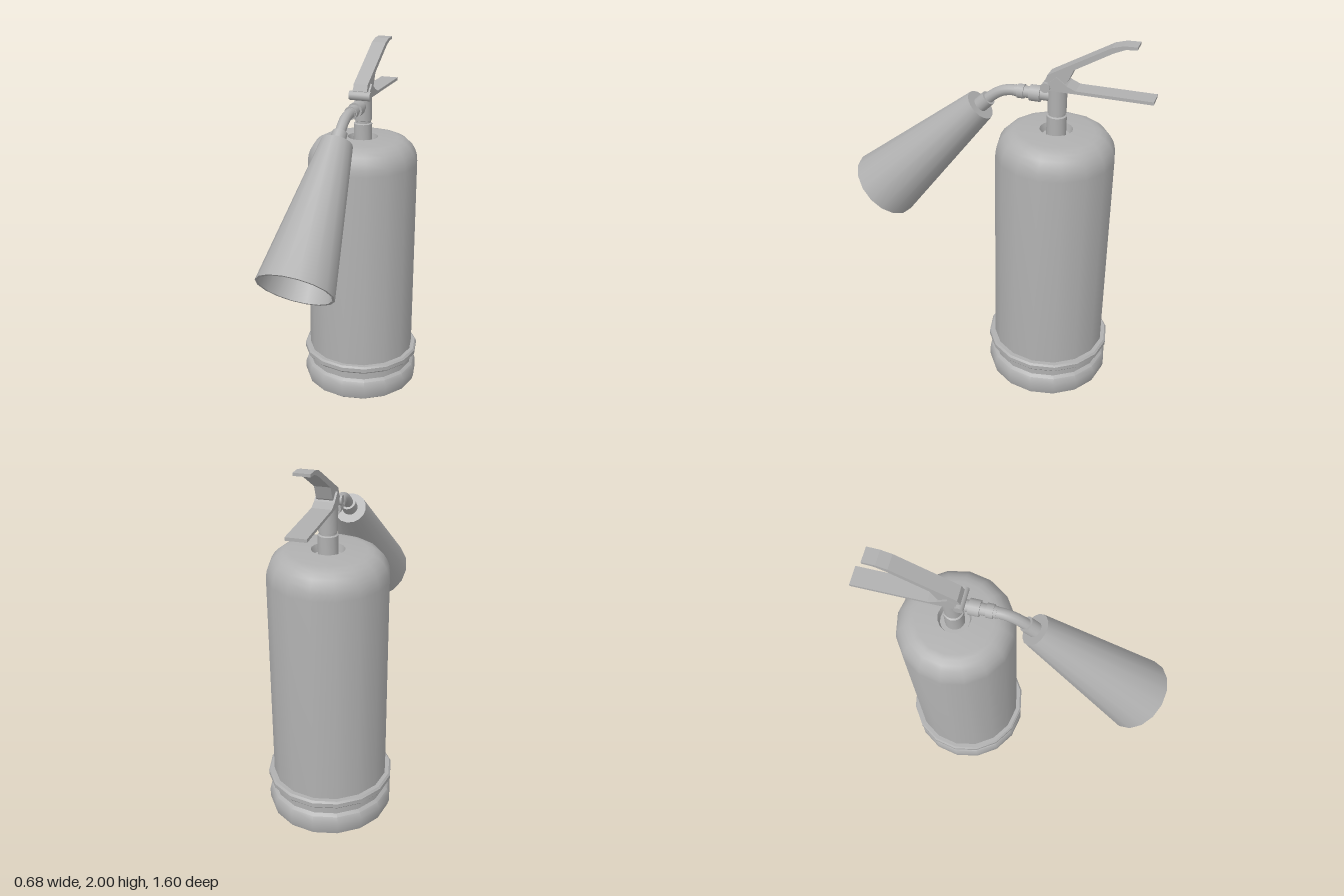
import * as THREE from 'three';
import { toCreasedNormals } from 'three/addons/utils/BufferGeometryUtils.js';

const TANK_Z = -0.32;

export function createModel() {
  const model = new THREE.Group();
  model.name = 'fireExtinguisher';
  const grey = new THREE.MeshStandardMaterial({ color: 0xb0b0b0 });
  grey.name = 'plain grey';

  const add = (name, geometry, x = 0, y = 0, z = 0) => {
    const mesh = new THREE.Mesh(geometry, grey);
    mesh.name = name;
    mesh.position.set(x, y, z);
    model.add(mesh);
    return mesh;
  };
  // Turned part from [radius, height] pairs, with hard edges kept sharp
  const turned = (pairs, sides = 16) => toCreasedNormals(
    new THREE.LatheGeometry(pairs.map(([r, y]) => new THREE.Vector2(r, y)), sides), 0.6);
  // Round bar lying along z
  const barZ = (name, r, zBack, zFront, y) => add(name,
    new THREE.CylinderGeometry(r, r, zFront - zBack, 16).rotateX(Math.PI / 2), 0, y, (zBack + zFront) / 2);
  // Side profile of [z, y] pairs given a width across x
  const plate = (name, pairs, width) => {
    const shape = new THREE.Shape(pairs.map(([z, y]) => new THREE.Vector2(-z, y)));
    const g = new THREE.ExtrudeGeometry(shape, { depth: width, bevelEnabled: false });
    add(name, g.translate(0, 0, -width / 2).rotateY(Math.PI / 2));
  };

  // Tank with rounded shoulder and recessed neck
  const shoulder = [];
  for (let i = 0; i <= 6; i++) {
    const a = (i / 6) * Math.PI / 2;
    shoulder.push([0.198 + 0.11 * Math.cos(a), 1.365 + 0.138 * Math.sin(a)]);
  }
  add('tank', turned([[0, 0.05], [0.308, 0.05], ...shoulder,
    [0.085, 1.508], [0.075, 1.47], [0, 1.47]]), 0, 0, TANK_Z);

  // Foot and the band above it
  add('foot', turned([[0, 0], [0.315, 0], [0.328, 0.01], [0.337, 0.04], [0.336, 0.085],
    [0.325, 0.115], [0.305, 0.13]]), 0, 0, TANK_Z);
  add('band', turned([[0.3, 0.18], [0.33, 0.18], [0.339, 0.19], [0.339, 0.213],
    [0.33, 0.223], [0.3, 0.223]]), 0, 0, TANK_Z);

  // Valve
  add('valve', turned([[0, 1.46], [0.051, 1.46], [0.051, 1.583], [0.043, 1.588],
    [0.043, 1.6], [0.048, 1.602], [0.048, 1.74], [0, 1.74]]), 0, 0, TANK_Z);

  // Squeeze lever, carrying handle and pivot pin
  plate('lever', [[-0.275, 1.73], [-0.33, 1.74], [-0.375, 1.78], [-0.405, 1.848], [-0.59, 1.957],
    [-0.645, 1.981], [-0.7, 1.986], [-0.7, 2], [-0.635, 1.998], [-0.58, 1.982],
    [-0.275, 1.806], [-0.262, 1.77]], 0.08);
  plate('handle', [[-0.275, 1.73], [-0.8, 1.73], [-0.8, 1.746], [-0.42, 1.746],
    [-0.375, 1.765], [-0.322, 1.803], [-0.275, 1.76]], 0.1);
  add('pivotPin', new THREE.CylinderGeometry(0.025, 0.025, 0.12, 16).rotateZ(Math.PI / 2), 0, 1.744, -0.27);

  // Hose fittings
  barZ('outlet', 0.03, -0.3, -0.1, 1.685);
  barZ('rearNut', 0.041, -0.235, -0.18, 1.685);
  barZ('frontNut', 0.036, -0.15, -0.115, 1.685);

  // Bent hose
  const bend = new THREE.CubicBezierCurve3(
    new THREE.Vector3(0, 1.685, -0.12), new THREE.Vector3(0, 1.69, -0.04),
    new THREE.Vector3(0, 1.665, 0), new THREE.Vector3(0, 1.6, 0.064));
  add('hose', new THREE.TubeGeometry(bend, 12, 0.028, 12));

  // Open horn and its collar, tilted 45 degrees
  const horn = add('horn', turned([[0, 0.79], [0.074, 0.79], [0.186, 0], [0.199, 0],
    [0.0845, 0.811], [0, 0.811]]), 0, 1.003, 0.66);
  horn.rotation.x = -Math.PI / 4;
  const collar = add('hornCollar', new THREE.CylinderGeometry(0.04, 0.04, 0.07, 16), 0, 1.597, 0.067);
  collar.rotation.x = -Math.PI / 4;

  return model;
}
